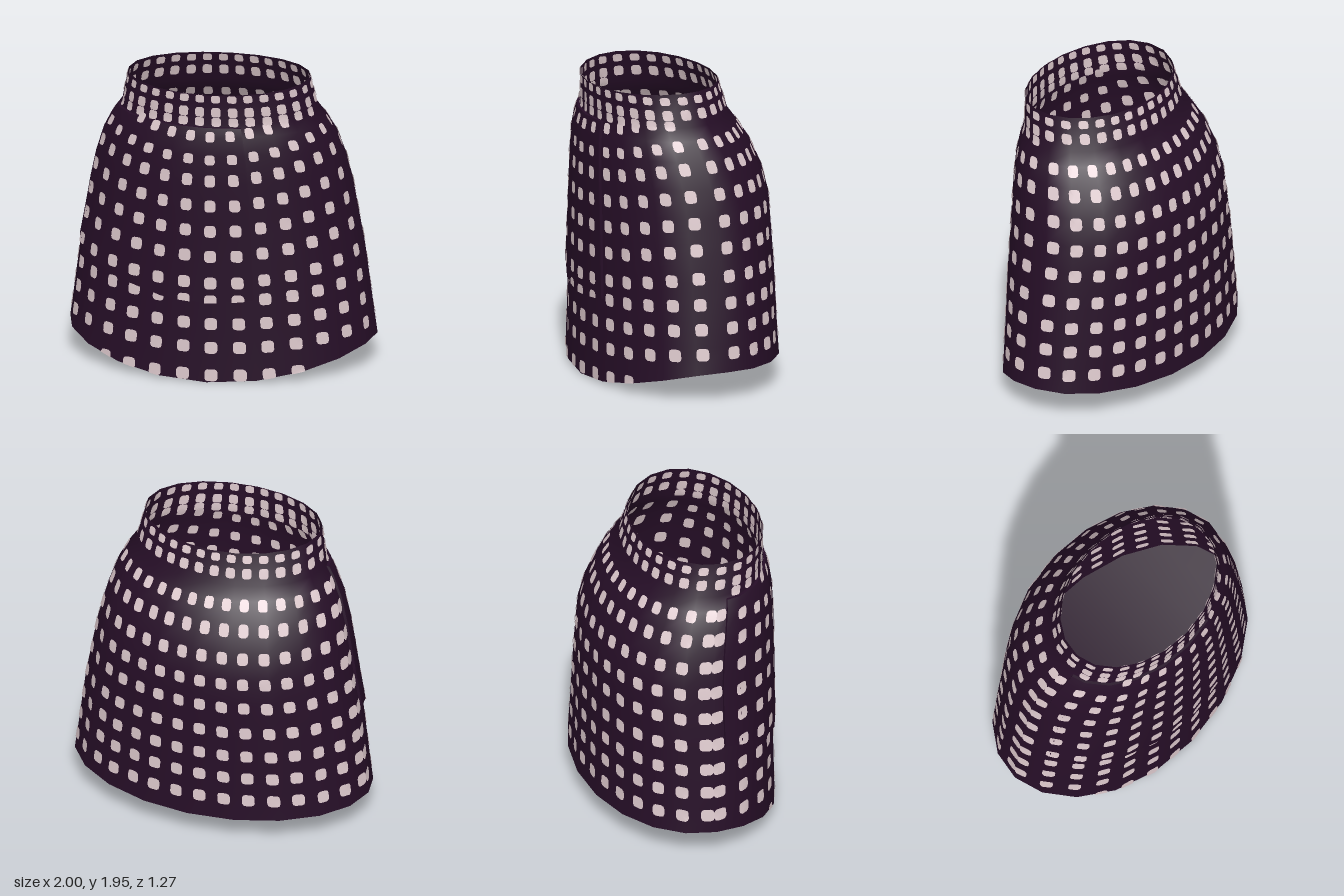
import * as THREE from 'three';

const SIDES = 20, STEP = (Math.PI * 2) / SIDES;
// Skirt profile: height, half width, front z, back z
const PROFILE = [
  [0.35, 0.978, 0.617, -0.622], [0.76, 0.925, 0.616, -0.61], [1.0, 0.88, 0.615, -0.6],
  [1.17, 0.85, 0.614, -0.59], [1.35, 0.81, 0.612, -0.545], [1.53, 0.752, 0.605, -0.465],
  [1.65, 0.69, 0.588, -0.385], [1.73, 0.636, 0.567, -0.325], [1.93, 0.592, 0.573, -0.262],
];
const HEM = [0.19, 1.0, 0.619, -0.63];

function ringAt(y) {
  const rows = [HEM, ...PROFILE];
  let i = 0;
  while (i < rows.length - 2 && y > rows[i + 1][0]) i++;
  const a = rows[i], b = rows[i + 1], t = (y - a[0]) / (b[0] - a[0]);
  return [1, 2, 3].map((n) => a[n] + (b[n] - a[n]) * t);
}

// Point on the faceted skirt; angle 0 faces front
function surface(angle, y, offset = 0) {
  const [rx, front, back] = ringAt(y), rz = (front - back) / 2, cz = (front + back) / 2;
  const corner = (a) => {
    const n = new THREE.Vector2(Math.sin(a) / rx, Math.cos(a) / rz).normalize().multiplyScalar(offset);
    return new THREE.Vector3(rx * Math.sin(a) + n.x, y, cz + rz * Math.cos(a) + n.y);
  };
  const k = Math.floor(angle / STEP + 1e-9);
  return corner(k * STEP).lerp(corner((k + 1) * STEP), Math.max(0, angle / STEP - k));
}

const hemY = (a) => (Math.cos(a) > 0 ? 0.19 * Math.sin(a) ** 2 : 0.16 + 0.03 * Math.sin(a) ** 2);
const rimY = (a) => 1.93 + 0.015 * Math.sin(a) ** 2 - 0.004 * Math.cos(a);

// Wrap-over flap limits
const FLAP_LEFT = -1.45, FLAP_RIGHT = 0.33, FLAP_TOP = 1.71, FLAP_OUT = 0.018;
const flapY = (a) => 0.54 + 0.24 * Math.sin(a) ** 2;

// Arc length along the hem turned into an angle, so dots are evenly spaced
const arcs = [0];
for (let i = 1; i <= 360; i++) {
  const a = ((i - 0.5) * Math.PI) / 360;
  arcs.push(arcs[i - 1] + (Math.hypot(Math.cos(a), 0.625 * Math.sin(a)) * Math.PI) / 360);
}
const HALF = arcs[360];
function angleAt(s) {
  const d = Math.min(Math.abs(s), 2 * HALF - Math.abs(s));
  let i = 0;
  while (i < 359 && arcs[i + 1] < d) i++;
  const a = ((i + (d - arcs[i]) / (arcs[i + 1] - arcs[i])) * Math.PI) / 360;
  return Math.sign(s) * (Math.abs(s) > HALF ? 2 * Math.PI - a : a);
}

function makeMesh(name, points, index, material) {
  const g = new THREE.BufferGeometry().setFromPoints(points);
  g.setIndex(index);
  g.computeVertexNormals();
  const m = new THREE.Mesh(g, material);
  m.name = name;
  return m;
}

// Rows of points joined into a sheet
function sheet(name, rows, closed, material) {
  const n = rows[0].length, index = [];
  for (let r = 0; r < rows.length - 1; r++) {
    for (let c = 0; c < (closed ? n : n - 1); c++) {
      const d = (c + 1) % n, a = r * n + c, b = r * n + d;
      index.push(a, b, b + n, a, b + n, a + n);
    }
  }
  return makeMesh(name, rows.flat(), index, material);
}

export function createModel() {
  const model = new THREE.Group();
  const cloth = new THREE.MeshStandardMaterial({ color: 0x260e27, side: THREE.DoubleSide });
  cloth.name = 'darkPurpleCloth';
  const pale = new THREE.MeshStandardMaterial({ color: 0xdcc8cc, side: THREE.DoubleSide });
  pale.name = 'palePinkDots';

  // Skirt shell from hem to rim
  const angles = Array.from({ length: SIDES }, (_, i) => i * STEP);
  const rows = [angles.map((a) => surface(a, hemY(a)))];
  PROFILE.forEach(([y], i) => {
    const last = i === PROFILE.length - 1;
    rows.push(angles.map((a) => surface(a, last ? rimY(a) : y)));
  });
  model.add(sheet('skirtShell', rows, true, cloth));

  // Closing panel under the hem, in strips from front to back
  const strip = [[], []];
  for (let k = -5; k <= 5; k++) {
    [k * STEP, Math.PI - k * STEP].forEach((a, i) => strip[i].push(surface(a, hemY(a))));
  }
  model.add(sheet('hemPanel', strip, false, cloth));

  // Flap across the front, with its raised edges
  const flapAngles = [FLAP_LEFT];
  for (let k = -4; k <= 1; k++) flapAngles.push(k * STEP);
  flapAngles.push(FLAP_RIGHT);
  const heights = [0, ...PROFILE.map((p) => p[0]).filter((y) => y > 0.8 && y < 1.7), FLAP_TOP];
  const flapPoint = (a, y, out) => surface(a, Math.max(y, flapY(a)), out);
  const face = heights.map((y) => flapAngles.map((a) => flapPoint(a, y, FLAP_OUT)));
  model.add(sheet('flap', face, false, cloth));
  model.add(sheet('flapHemEdge', [0, FLAP_OUT].map((o) => flapAngles.map((a) => flapPoint(a, 0, o))), false, cloth));
  model.add(sheet('flapTopEdge', [FLAP_OUT, 0].map((o) => flapAngles.map((a) => flapPoint(a, FLAP_TOP, o))), false, cloth));
  for (const [name, a] of [['flapLeftEdge', FLAP_LEFT], ['flapRightEdge', FLAP_RIGHT]]) {
    model.add(sheet(name, [0, FLAP_OUT].map((o) => heights.map((y) => flapPoint(a, y, o))), false, cloth));
  }

  // Rounded-square dots, laid just off the cloth
  const points = [], index = [];
  function dot(s, y, w, h, offset, lowest, maxAngle = 9) {
    const ring = [];
    for (let i = 0; i < 12; i++) {
      const t = (i / 12) * Math.PI * 2 + Math.PI / 12, c = Math.cos(t), n = Math.sin(t);
      const a = Math.min(angleAt(s + w * Math.sign(c) * Math.abs(c) ** 0.55), maxAngle);
      const py = Math.max(y + h * Math.sign(n) * Math.abs(n) ** 0.55, lowest(a));
      ring.push(surface(a, Math.min(py, rimY(a)), offset));
    }
    const mid = ring.reduce((v, p) => v.add(p), new THREE.Vector3()).divideScalar(12);
    const centre = surface(angleAt(s), y, offset);
    const base = points.length;
    points.push(y - h > lowest(angleAt(s)) && maxAngle > 8 ? centre : mid, ...ring);
    for (let i = 0; i < 12; i++) index.push(base, base + 1 + i, base + 1 + ((i + 1) % 12));
  }

  // Columns on the front and back panels
  const columns = [];
  for (let k = -7; k <= 6; k++) columns.push(0.03 + 0.185 * k);
  for (let k = -8; k <= 7; k++) {
    const s = HALF + (k + 0.5) * 0.165;
    columns.push(s > HALF ? s - 2 * HALF : s);
  }
  for (const Y of [0.125, 0.31, 0.47, 0.63, 0.8, 0.98, 1.15, 1.32, 1.49, 1.63, 1.78]) {
    for (const s of columns) {
      const a = angleAt(s), c = Math.cos(a);
      if (Y < 0.2 && (c < 0 || Math.abs(Math.sin(a)) > 0.72)) continue;
      if (Y > 1.7 && c < 0.6) continue;
      const y = Y - (Y < 0.7 ? 0.075 : 0.125) * Math.max(0, c) ** 2;
      const h = Y > 1.6 ? 0.034 : 0.041;
      const onFlap = a > FLAP_LEFT + 0.04 && a < FLAP_RIGHT && y > flapY(a);
      dot(s, y, 0.043, h, -0.006, hemY);
      if (onFlap) dot(s, y, 0.043, h, FLAP_OUT + 0.006, flapY, FLAP_RIGHT);
      else dot(s, y, 0.043, h, 0.006, hemY);
    }
  }
  // Closer dots on the waistband
  for (const [y, h] of [[1.9, 0.026], [1.81, 0.034], [1.745, 0.03]]) {
    for (let k = -15; k < 15; k++) {
      const s = ((k + 0.5) * HALF) / 15;
      if (y < 1.78 && Math.cos(angleAt(s)) < 0.2) continue;
      for (const o of [0.006, -0.006]) dot(s, y, 0.05, h, o, hemY);
    }
  }
  model.add(makeMesh('dots', points, index, pale));
  return model;
}
